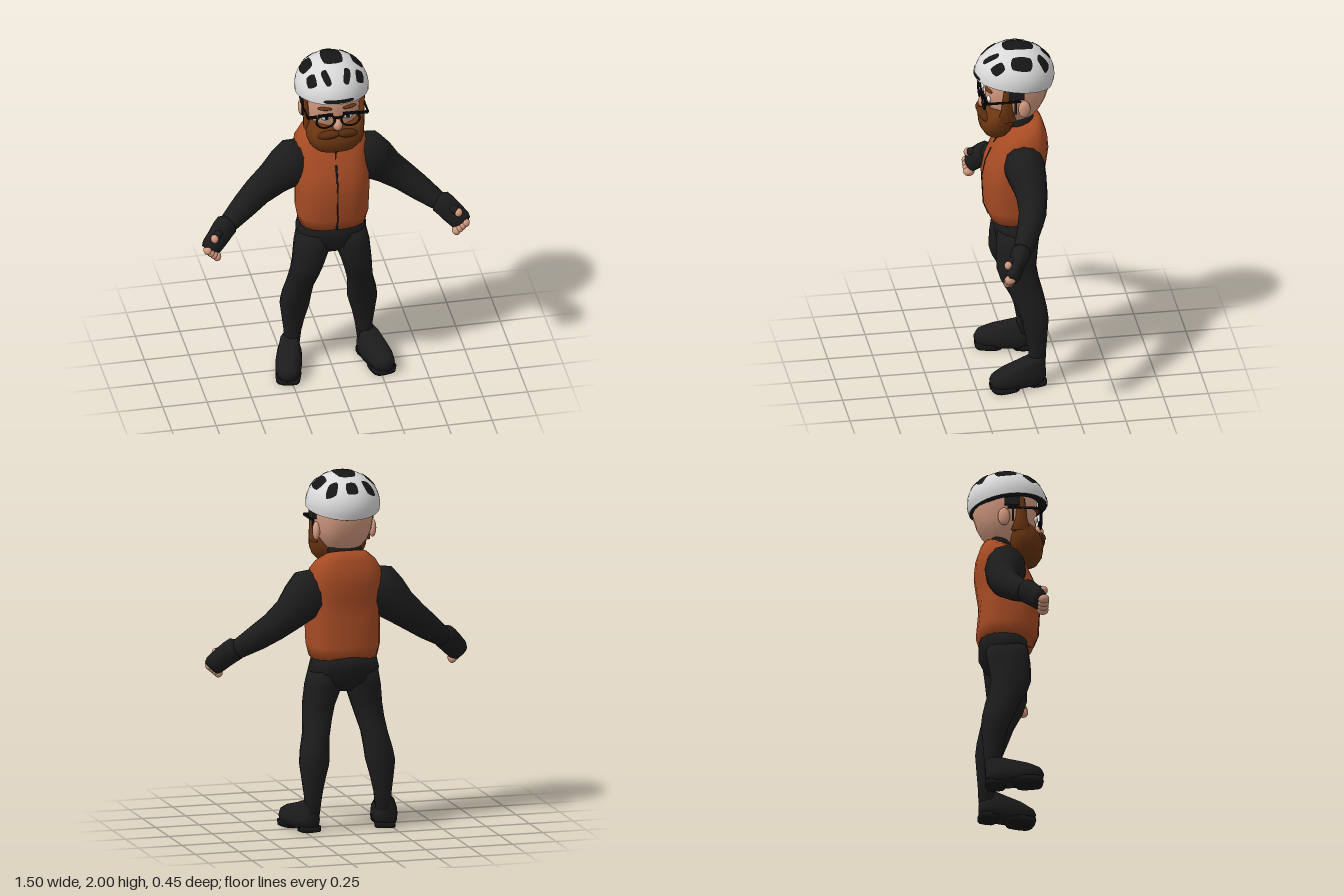
import * as THREE from 'three';

const V = (x, y, z) => new THREE.Vector3(x, y, z);
const mat = (name, color, side = THREE.FrontSide) => {
  const m = new THREE.MeshStandardMaterial({ color, side });
  m.name = name;
  return m;
};

// Skin a list of equal-length rings, with closed ends
function skin(rings, caps = true, closed = true) {
  const n = rings[0].length, pos = [], idx = [];
  rings.forEach(r => r.forEach(p => pos.push(p.x, p.y, p.z)));
  for (let i = 0; i < rings.length - 1; i++)
    for (let j = 0; j < (closed ? n : n - 1); j++) {
      const k = (j + 1) % n, a = i * n + j, b = i * n + k;
      idx.push(a, a + n, b, b, a + n, b + n);
    }
  if (caps) [0, rings.length - 1].forEach((r, end) => {
    const c = pos.length / 3, m = V(0, 0, 0);
    rings[r].forEach(p => m.addScaledVector(p, 1 / n));
    pos.push(m.x, m.y, m.z);
    for (let j = 0; j < n; j++) {
      const a = r * n + j, b = r * n + (j + 1) % n;
      if (end) idx.push(c, b, a); else idx.push(c, a, b);
    }
  });
  const g = new THREE.BufferGeometry();
  g.setAttribute('position', new THREE.Float32BufferAttribute(pos, 3));
  g.setIndex(idx);
  g.computeVertexNormals();
  return g;
}
const pow = (v, e) => Math.sign(v) * Math.abs(v) ** e;

// Horizontal sections, bottom to top: [y, half width, front z, back z, centre x, forward drop]
const stack = (rows, n = 16, e = 0.85) => skin(rows.map(([y, rx, zf, zb, cx = 0, drop = 0]) =>
  Array.from({ length: n }, (_, j) => {
    const a = j / n * Math.PI * 2, s = pow(Math.sin(a), e);
    return V(cx + rx * pow(Math.cos(a), e), y - drop * s, (zf + zb) / 2 + (zf - zb) / 2 * s);
  })));

// Limb sections across a path: [x, y, z, height radius, depth radius]
const limb = (rows, n = 12) => {
  const p = rows.map(r => V(r[0], r[1], r[2]));
  return skin(rows.map((r, i) => {
    const d = p[Math.min(i + 1, p.length - 1)].clone().sub(p[Math.max(i - 1, 0)]).normalize();
    const w = V(0, 0, 1).addScaledVector(d, -d.z).normalize(), u = d.clone().cross(w);
    return Array.from({ length: n }, (_, j) => {
      const a = j / n * Math.PI * 2;
      return p[i].clone().addScaledVector(u, r[3] * Math.cos(a)).addScaledVector(w, r[4] * Math.sin(a));
    });
  }));
};
const ball = (x, y, z, rx, ry = rx, rz = rx) =>
  new THREE.SphereGeometry(1, 14, 10).scale(rx, ry, rz).translate(x, y, z);
const box = (x, y, z, w, h, d) => new THREE.BoxGeometry(w, h, d).translate(x, y, z);

function mirrored(geo) {
  const g = geo.clone().scale(-1, 1, 1), a = g.index.array;
  for (let i = 0; i < a.length; i += 3) [a[i], a[i + 1]] = [a[i + 1], a[i]];
  return g;
}

// Helmet shell: an ellipsoid around this centre
const HC = V(0, 1.82, 0), HR = V(0.205, 0.18, 0.222);
const shell = (az, th, k = 1) => V(Math.sin(th) * Math.sin(az), Math.cos(th), Math.sin(th) * Math.cos(az))
  .multiply(HR).multiplyScalar(k).add(HC);
const rim = az => THREE.MathUtils.degToRad(97 - 10 * Math.cos(az) + 3 * Math.cos(az) ** 2);
const around = f => Array.from({ length: 32 }, (_, j) => f(j / 32 * Math.PI * 2));

// Vent patch on the shell, from four corners given in plan as [x, z]
function vent(corners) {
  const c = corners.map(([x, z]) => {
    const X = x / HR.x, Z = z / HR.z;
    return V(X, Math.sqrt(Math.max(0, 1 - X * X - Z * Z)), Z);
  });
  const n = 8, rows = [];
  for (let i = 0; i <= n; i++) {
    rows.push([]);
    for (let j = 0; j <= n; j++) {
      const a = i / n * 2 - 1, b = j / n * 2 - 1;
      const s = (a * Math.sqrt(1 - 0.3 * b * b) + 1) / 2, t = (b * Math.sqrt(1 - 0.3 * a * a) + 1) / 2;
      const p = c[0].clone().lerp(c[1], s).lerp(c[3].clone().lerp(c[2], s), t);
      rows[i].push(p.normalize().multiplyScalar(1.015).multiply(HR).add(HC));
    }
  }
  return skin(rows, false, false);
}

export function createModel() {
  const root = new THREE.Group();
  root.name = 'cyclist';
  const black = mat('black fabric', 0x1c1c1c), orange = mat('orange vest', 0xa84c24);
  const flesh = mat('skin', 0xd39a80), brown = mat('beard brown', 0x6c3611), dark = mat('moustache brown', 0x5a2c0e);
  const white = mat('helmet white', 0xdadada, THREE.DoubleSide), vents = mat('vent black', 0x161616, THREE.DoubleSide);
  const eyeWhite = mat('eye white', 0xeeeeee), frame = mat('glasses black', 0x0e0e0e);
  const add = (name, geo, m) => {
    const mesh = new THREE.Mesh(geo, m);
    mesh.name = name;
    root.add(mesh);
  };
  const pair = (name, geo, m) => {
    add(name + 'Left', geo, m);
    add(name + 'Right', mirrored(geo), m);
  };

  // Torso
  add('vest', stack([
    [0.96, 0.185, 0.145, -0.15], [1.03, 0.2, 0.172, -0.17], [1.2, 0.205, 0.18, -0.155],
    [1.3, 0.203, 0.16, -0.17], [1.39, 0.203, 0.12, -0.182], [1.46, 0.198, 0.085, -0.175],
    [1.51, 0.165, 0.06, -0.155, 0, 0.015], [1.545, 0.115, 0.04, -0.13, 0, 0.03]], 20, 0.75), orange);
  add('zipper', stack([
    [0.96, 0.008, 0.149, 0.1], [1.03, 0.008, 0.176, 0.1], [1.2, 0.008, 0.184, 0.1],
    [1.3, 0.008, 0.164, 0.1], [1.37, 0.007, 0.134, 0.08]], 8, 0.6), black);
  add('openCollar', stack([[1.4, 0.006, 0.12, 0.04], [1.46, 0.025, 0.09, 0.02], [1.5, 0.03, 0.07, 0]], 8), black);
  add('neck', stack([[1.46, 0.1, 0.05, -0.1], [1.56, 0.095, 0.03, -0.105], [1.6, 0.09, 0.02, -0.1]]), black);
  add('hips', stack([
    [0.77, 0.07, 0.06, -0.06], [0.82, 0.17, 0.105, -0.12], [0.9, 0.198, 0.118, -0.158], [0.98, 0.178, 0.11, -0.155]]), black);

  // Legs and shoes
  pair('leg', stack([
    [0.1, 0.042, -0.045, -0.14, 0.205], [0.2, 0.05, -0.045, -0.145, 0.2], [0.28, 0.064, -0.03, -0.152, 0.197],
    [0.38, 0.084, -0.008, -0.16, 0.19], [0.45, 0.08, 0.02, -0.152, 0.182], [0.53, 0.073, 0.05, -0.135, 0.168],
    [0.62, 0.078, 0.1, -0.112, 0.15], [0.69, 0.085, 0.122, -0.1, 0.137], [0.8, 0.1, 0.122, -0.115, 0.112],
    [0.9, 0.09, 0.11, -0.13, 0.1]], 12), black);
  const foot = g => g.rotateY(0.24).translate(0.24, 0, 0.005);
  pair('shoe', foot(stack([
    [0.02, 0.07, 0.175, -0.14], [0.06, 0.074, 0.182, -0.148], [0.09, 0.07, 0.168, -0.148],
    [0.12, 0.06, 0.11, -0.142], [0.15, 0.052, 0.0, -0.135], [0.165, 0.04, -0.04, -0.13]], 16, 0.75)), black);
  pair('sole', foot(stack([[0, 0.068, 0.17, 0.02], [0.03, 0.072, 0.178, 0.0]], 14, 0.6)), vents);
  pair('heel', foot(stack([[0, 0.058, -0.04, -0.145], [0.03, 0.06, -0.03, -0.147]], 12, 0.6)), vents);

  // Arms and fingerless gloves
  pair('sleeve', limb([
    [0.13, 1.36, -0.02, 0.11, 0.1], [0.2, 1.33, -0.025, 0.14, 0.115], [0.25, 1.285, -0.035, 0.125, 0.105],
    [0.32, 1.22, -0.045, 0.1, 0.088], [0.41, 1.15, -0.035, 0.084, 0.076], [0.49, 1.09, 0, 0.074, 0.066],
    [0.58, 1.025, 0.045, 0.057, 0.052], [0.6, 1.01, 0.055, 0.05, 0.045]]), black);
  pair('glove', limb([
    [0.585, 1.03, 0.05, 0.05, 0.045], [0.6, 1.02, 0.06, 0.068, 0.056], [0.625, 1.0, 0.075, 0.068, 0.052],
    [0.66, 0.965, 0.1, 0.066, 0.044], [0.7, 0.925, 0.122, 0.062, 0.04], [0.715, 0.908, 0.13, 0.05, 0.034]]), black);
  for (let i = 0; i < 4; i++)
    pair('finger' + (i + 1), ball(0.724 - i * 0.017, 0.919 - i * 0.015, 0.142, 0.024, 0.027, 0.032), flesh);
  pair('thumbGlove', limb([[0.635, 1.0, 0.09, 0.03, 0.028], [0.668, 0.998, 0.125, 0.026, 0.026], [0.68, 0.992, 0.14, 0.022, 0.022]], 8), black);
  pair('thumbTip', ball(0.685, 0.988, 0.145, 0.022, 0.025, 0.024), flesh);

  // Head and face
  add('head', stack([
    [1.55, 0.07, 0.04, -0.08], [1.59, 0.105, 0.1, -0.11], [1.63, 0.135, 0.145, -0.142], [1.68, 0.152, 0.16, -0.168],
    [1.75, 0.16, 0.165, -0.19], [1.82, 0.165, 0.165, -0.19], [1.88, 0.14, 0.13, -0.15]], 20), flesh);
  pair('ear', ball(0.162, 1.675, -0.03, 0.02, 0.052, 0.034), flesh);
  add('nose', ball(0, 1.66, 0.172, 0.028, 0.034, 0.032), flesh);
  add('beard', stack([
    [1.47, 0.07, 0.15, 0.07], [1.485, 0.11, 0.175, 0.045], [1.52, 0.145, 0.196, 0.02], [1.56, 0.16, 0.2, 0.005],
    [1.6, 0.165, 0.19, 0.0], [1.635, 0.163, 0.162, 0.01], [1.655, 0.15, 0.13, 0.03]], 18), brown);
  pair('sideburn', stack([
    [1.6, 0.02, 0.12, 0.01, 0.15], [1.67, 0.016, 0.1, 0.035, 0.155], [1.79, 0.012, 0.085, 0.045, 0.16]], 8), brown);
  pair('moustache', ball(0, 0, 0, 0.066, 0.024, 0.026).rotateZ(-0.22).rotateY(0.3).translate(0.052, 1.607, 0.182), dark);
  pair('eyebrow', ball(0, 0, 0, 0.042, 0.01, 0.012).rotateY(0.3).translate(0.07, 1.762, 0.156), brown);
  pair('eye', ball(0.062, 1.705, 0.153, 0.026, 0.019, 0.012), eyeWhite);
  pair('pupil', ball(0.06, 1.705, 0.163, 0.011, 0.012, 0.005), frame);

  // Glasses
  pair('lensRim', new THREE.TorusGeometry(0.046, 0.006, 6, 20).scale(1.12, 0.92, 1).translate(0.07, 1.697, 0.182), frame);
  pair('browBar', box(0.072, 1.735, 0.183, 0.085, 0.014, 0.012), frame);
  add('bridge', box(0, 1.715, 0.186, 0.045, 0.01, 0.01), frame);
  pair('hinge', box(0.143, 1.728, 0.178, 0.05, 0.014, 0.012), frame);
  pair('temple', box(0.17, 1.728, 0.085, 0.008, 0.012, 0.19), frame);

  // Helmet with vents, lining and strap pads
  const rows = Array.from({ length: 13 }, (_, i) => around(az => shell(az, rim(az) * Math.max(i / 12, 0.002))));
  add('helmetShell', skin(rows.reverse(), false), white);
  add('helmetLining', skin([around(az => shell(az, rim(az), 0.995)),
    around(az => shell(az, rim(az) + 0.08, 0.9)), around(az => shell(az, rim(az), 0.78))], false), vents);
  pair('strapPad', box(0.163, 1.772, 0.015, 0.03, 0.06, 0.085), black);
  pair('strap', box(0.166, 1.71, 0.02, 0.008, 0.12, 0.012), black);
  add('crownVent', vent([[-0.05, -0.1], [-0.058, 0.065], [0.058, 0.065], [0.05, -0.1]]), vents);
  add('rearVent', vent([[-0.035, -0.195], [-0.03, -0.142], [0.03, -0.142], [0.035, -0.195]]), vents);
  add('frontSlot', vent([[-0.085, 0.199], [-0.085, 0.2018], [0.085, 0.2018], [0.085, 0.199]]), vents);
  pair('sideVent', vent([[0.105, -0.08], [0.105, 0.035], [0.165, 0.045], [0.17, -0.07]]), vents);
  pair('rearSideVent', vent([[0.085, -0.18], [0.06, -0.12], [0.11, -0.105], [0.145, -0.145]]), vents);
  pair('frontVent', vent([[0.028, 0.175], [0.05, 0.09], [0.085, 0.1], [0.06, 0.18]]), vents);
  pair('frontSideVent', vent([[0.105, 0.155], [0.11, 0.085], [0.155, 0.07], [0.155, 0.125]]), vents);
  return root;
}
